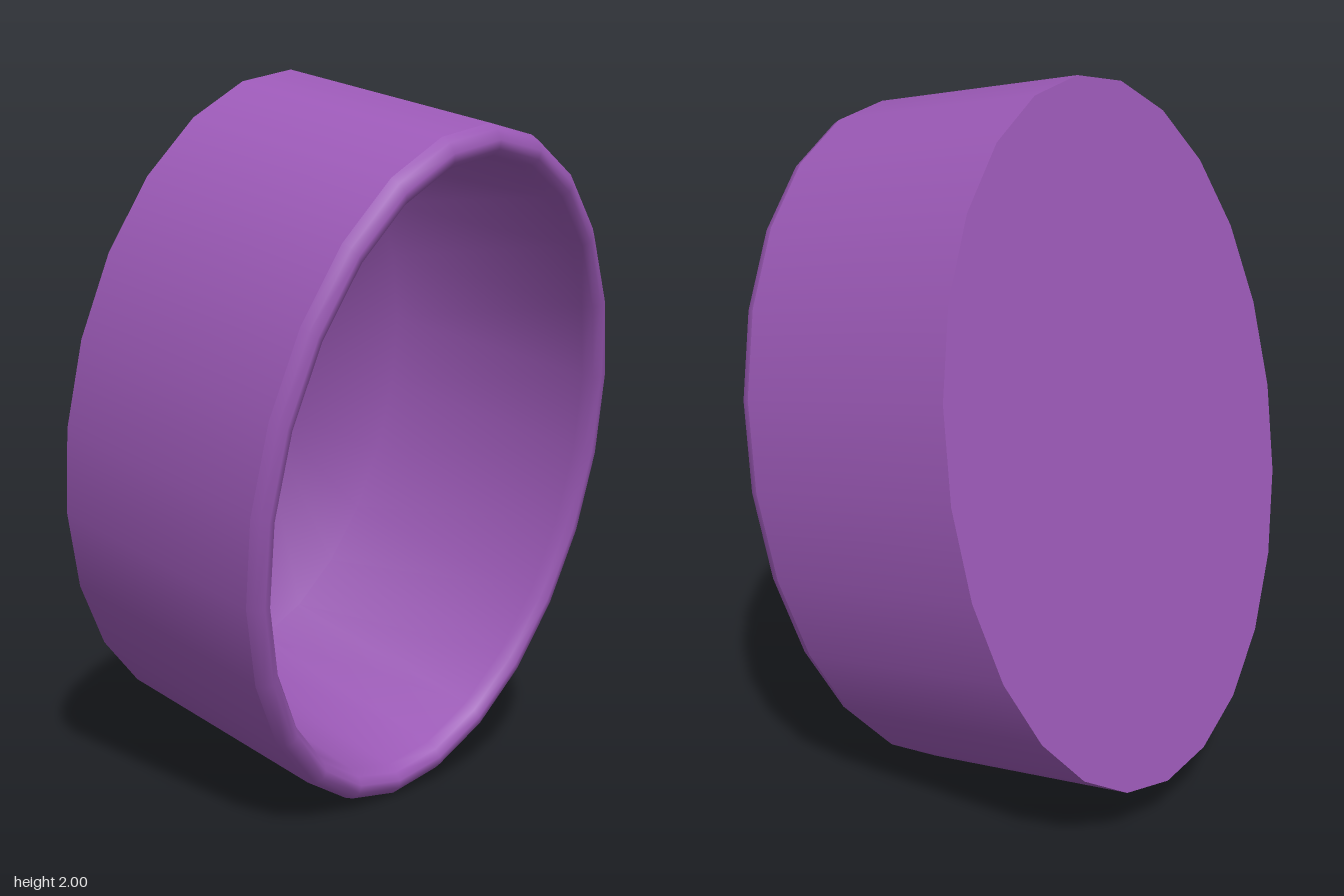
import * as THREE from 'three';

const SIDES = 24;

// Oval cross-section and tilt: short radius, half length of the wall, long radius
const SECTION = new THREE.Matrix4().makeBasis(
  new THREE.Vector3(-0.28, 0, 0.587),
  new THREE.Vector3(0.322, -0.068, 0.135),
  new THREE.Vector3(0.165, 0.932, 0.1),
);

// Sweeps a profile of [radius, height] pairs round the tilted oval
function ovalLathe(name, profile, material) {
  const points = profile.map(([r, h]) => new THREE.Vector2(r, h));
  const geometry = new THREE.LatheGeometry(points, SIDES).applyMatrix4(SECTION);
  const mesh = new THREE.Mesh(geometry, material);
  mesh.name = name;
  return mesh;
}

export function createModel() {
  const model = new THREE.Group();
  const material = new THREE.MeshStandardMaterial({ color: 0x9b59b6 });

  const cup = new THREE.Group();
  cup.name = 'cup';
  cup.position.y = 1;
  model.add(cup);

  cup.add(
    // Flat back
    ovalLathe('back', [[0, -1], [1, -1]], material),
    // Straight outer wall
    ovalLathe('outerWall', [[1, -1], [1, 0.97]], material),
    // Rounded rim, then the deep inner wall and floor
    ovalLathe('rimAndInside', [
      [1, 0.97], [0.99, 1.04], [0.965, 1.09], [0.94, 1.09], [0.92, 1.04], [0.91, 0.95],
      [0.85, -0.93], [0, -0.93],
    ], material),
  );

  return model;
}
